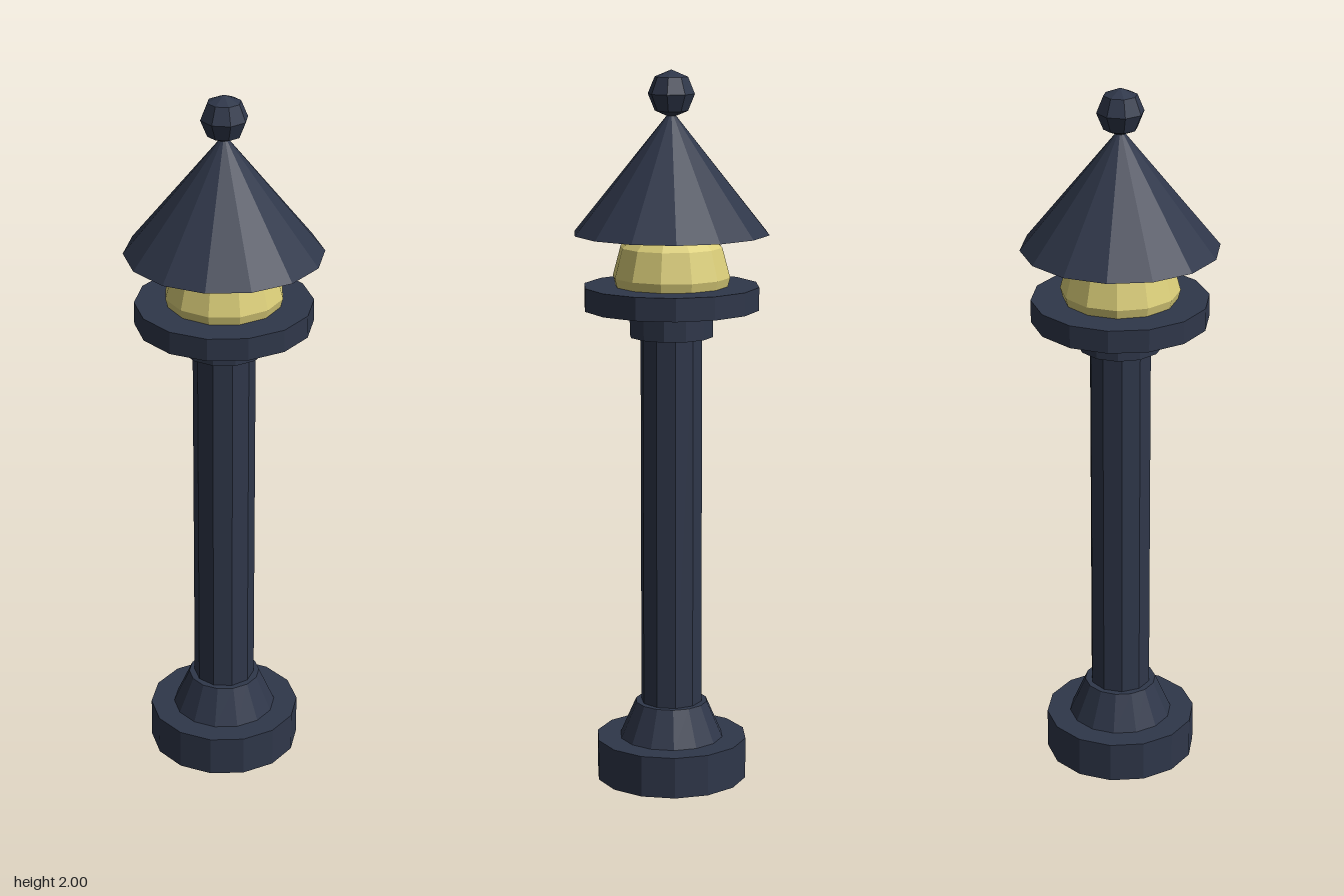
import * as THREE from 'three';

export function createModel() {
  const group = new THREE.Group();
  group.name = 'gardenLamp';

  const metal = new THREE.MeshStandardMaterial({ color: 0x2f374a, flatShading: true });
  metal.name = 'dark blue metal';
  const glow = new THREE.MeshStandardMaterial({ color: 0xdccf7a, flatShading: true });
  glow.name = 'pale yellow glass';

  const add = (name, geometry, material, y) => {
    const mesh = new THREE.Mesh(geometry, material);
    mesh.name = name;
    mesh.position.y = y;
    group.add(mesh);
  };

  // Round part between two heights
  const turned = (name, rTop, rBottom, y0, y1, sides) =>
    add(name, new THREE.CylinderGeometry(rTop, rBottom, y1 - y0, sides), metal, (y0 + y1) / 2);

  // Foot and post
  turned('base', 0.214, 0.214, 0, 0.117, 14);
  turned('baseTaper', 0.102, 0.147, 0.117, 0.22, 14);
  turned('post', 0.0865, 0.0865, 0.22, 1.27, 10);

  // Lamp holder
  turned('collar', 0.117, 0.117, 1.27, 1.335, 12);
  turned('tray', 0.2445, 0.2445, 1.347, 1.411, 14);
  add('globe', new THREE.SphereGeometry(0.164, 12, 6), glow, 1.436);

  // Roof with ball finial
  add('roof', new THREE.ConeGeometry(0.272, 0.337, 14), metal, 1.555 + 0.337 / 2);
  add('finial', new THREE.SphereGeometry(0.065, 8, 4), metal, 1.935);

  return group;
}
